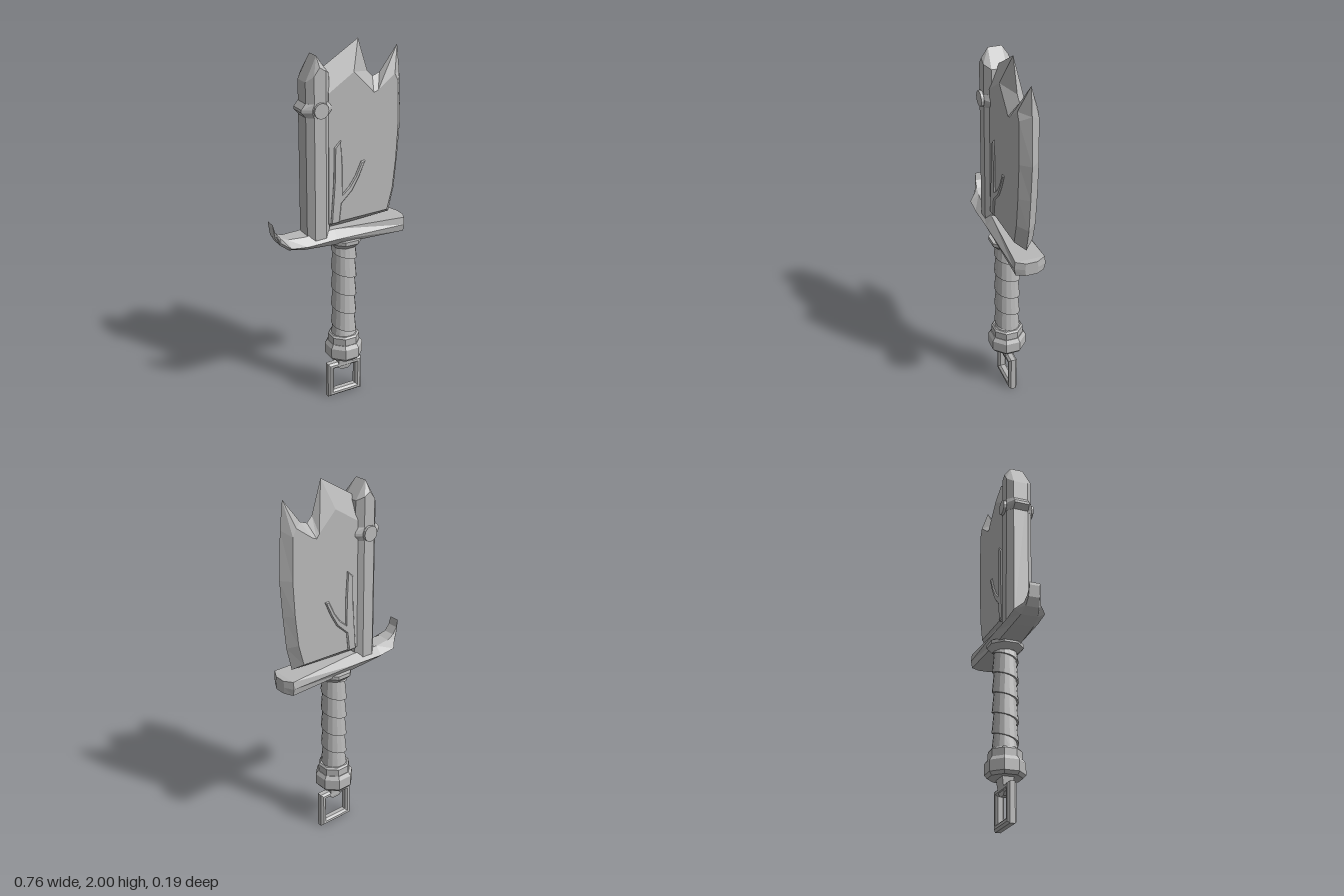
import * as THREE from 'three';

const steel = new THREE.MeshStandardMaterial({ color: 0xb8b8b8, flatShading: true });
steel.name = 'grey steel';

const AXIS_X = 0.035; // grip axis

// Joins equal-length rings of points into a closed solid; winding is fixed by signed volume.
function loft(rings, capTris) {
  const n = rings[0].length, tris = [];
  const caps = capTris || Array.from({ length: n - 2 }, (_, i) => [0, i + 1, i + 2]);
  for (let r = 0; r < rings.length - 1; r++) {
    for (let i = 0; i < n; i++) {
      const j = (i + 1) % n, a = rings[r], b = rings[r + 1];
      tris.push([a[i], a[j], b[j]], [a[i], b[j], b[i]]);
    }
  }
  const last = rings[rings.length - 1];
  for (const [a, b, c] of caps) {
    tris.push([rings[0][c], rings[0][b], rings[0][a]], [last[a], last[b], last[c]]);
  }
  let volume = 0;
  for (const [a, b, c] of tris) {
    volume += a[0] * (b[1] * c[2] - b[2] * c[1]) + a[1] * (b[2] * c[0] - b[0] * c[2]) + a[2] * (b[0] * c[1] - b[1] * c[0]);
  }
  const points = tris.flatMap(([a, b, c]) => (volume < 0 ? [a, c, b] : [a, b, c])).flat();
  const geometry = new THREE.BufferGeometry();
  geometry.setAttribute('position', new THREE.Float32BufferAttribute(points, 3));
  geometry.computeVertexNormals();
  return geometry;
}

function shapeOf(points) {
  return new THREE.Shape(points.map(([x, y]) => new THREE.Vector2(x, y)));
}

// Extrusion centred on z = 0 with a single chamfer inside the outline
function plate(shape, halfDepth, bevel) {
  const geometry = new THREE.ExtrudeGeometry(shape, {
    depth: 2 * (halfDepth - bevel), bevelThickness: bevel, bevelSize: bevel,
    bevelOffset: -bevel, bevelSegments: 1, curveSegments: 4,
  });
  return geometry.translate(0, 0, -(halfDepth - bevel));
}

// Eight-sided turned part with flats facing the axes; radii are measured to the flats
function octagon(profile) {
  const k = 1 / Math.cos(Math.PI / 8);
  const geometry = new THREE.LatheGeometry(profile.map(([r, y]) => new THREE.Vector2(r * k, y)), 8, Math.PI / 8);
  return geometry.translate(AXIS_X, 0, 0);
}

export function createModel() {
  const model = new THREE.Group();
  model.name = 'broadSword';
  const add = (name, geometry) => {
    const mesh = new THREE.Mesh(geometry, steel);
    mesh.name = name;
    model.add(mesh);
    return mesh;
  };

  // Blade: sharp outline at z = 0, bevelled to flat faces. [edge x, edge y, face x, face y]
  const blade = [
    [-0.08, 1.03, -0.08, 1.075], [0.305, 1.05, 0.265, 1.085], [0.335, 1.18, 0.295, 1.2],
    [0.352, 1.36, 0.312, 1.36], [0.365, 1.55, 0.322, 1.55], [0.352, 1.8, 0.315, 1.77],
    [0.335, 1.945, 0.295, 1.81], [0.235, 1.815, 0.2, 1.74], [0.195, 1.8, 0.175, 1.73],
    [0.165, 1.83, 0.16, 1.75], [0.11, 2.0, 0.06, 1.85], [-0.08, 1.885, -0.08, 1.76],
  ];
  const face = (z) => blade.map((p) => [p[2], p[3], z]);
  const bladeCaps = THREE.ShapeUtils.triangulateShape(blade.map((p) => new THREE.Vector2(p[2], p[3])), []);
  add('blade', loft([face(-0.05), blade.map((p) => [p[0], p[1], 0]), face(0.05)], bladeCaps));

  // Raised forked ornament, showing on both faces of the blade
  add('bladeOrnament', plate(shapeOf([
    [-0.07, 1.07], [-0.02, 1.07], [-0.008, 1.175], [0.055, 1.235], [0.095, 1.305], [0.13, 1.385],
    [0.105, 1.385], [0.07, 1.31], [0.035, 1.26], [-0.003, 1.225], [-0.003, 1.37], [-0.013, 1.515],
    [-0.05, 1.48], [-0.053, 1.3],
  ]), 0.057, 0.006));

  // Spine post: chamfered section with a gabled top
  const half = [[-0.2, 0.04, 1.83], [-0.168, 0.07, 1.86], [-0.138, 0.07, 1.9], [-0.105, 0.07, 1.88], [-0.073, 0.04, 1.86]];
  const section = [...half, ...half.map(([x, z, y]) => [x, -z, y]).reverse()];
  add('spinePost', loft([
    section.map(([x, z]) => [x, 1.0, z]),
    section.map(([x, z, y]) => [x, y, z]),
    section.map(([x, z]) => [-0.138, 1.95, Math.sign(z) * 0.035]),
  ]));

  // Band with pointed sides and a round boss on front and back
  const band = (y, grow) => section.map(([x, z]) => [-0.137 + (x + 0.137) * grow, y, z * 1.02]);
  add('postBand', loft([band(1.655, 1), band(1.683, 1.38), band(1.697, 1.38), band(1.725, 1)]));
  const boss = new THREE.CylinderGeometry(0.04, 0.04, 0.17, 12);
  add('postBoss', boss.rotateX(Math.PI / 2).translate(-0.135, 1.69, 0));

  // Guard: six-sided stations along x, [x, yTop, yMid, yBottom, zTop, zMid, zBottom]
  const stations = [
    [-0.385, 1.125, 1.12, 1.11, 0.028, 0.029, 0.028],
    [-0.375, 1.085, 1.068, 1.05, 0.03, 0.032, 0.03],
    [-0.35, 1.05, 1.025, 1.008, 0.032, 0.045, 0.035],
    [-0.31, 1.032, 1.0, 0.978, 0.036, 0.083, 0.045],
    [-0.22, 1.03, 0.99, 0.964, 0.045, 0.085, 0.055],
    [-0.05, 1.04, 0.995, 0.956, 0.05, 0.085, 0.06],
    [0.355, 1.03, 0.99, 0.952, 0.078, 0.083, 0.075],
    [0.38, 1.025, 0.99, 0.954, 0.03, 0.035, 0.03],
  ];
  add('crossGuard', loft(stations.map(([x, yt, ym, yb, zt, zm, zb]) => [
    [x, yt, zt], [x, ym, zm], [x, yb, zb], [x, yb, -zb], [x, ym, -zm], [x, yt, -zt],
  ])));

  // Grip core and collars
  add('gripCore', new THREE.CylinderGeometry(0.058, 0.058, 0.56, 16).translate(AXIS_X, 0.66, 0));
  add('upperCollar', octagon([[0, 0.915], [0.06, 0.915], [0.09, 0.945], [0.09, 0.965], [0, 0.965]]));
  add('lowerCollar', octagon([[0, 0.32], [0.08, 0.32], [0.08, 0.38], [0.072, 0.39], [0, 0.39]]));
  add('pommel', octagon([[0, 0.245], [0.083, 0.245], [0.096, 0.262], [0.096, 0.32], [0.083, 0.34], [0, 0.34]]));

  // Spiral wrap: each turn flares to a small ledge at its lower edge
  const pitch = 0.11, sides = 16, wrap = [];
  const clampY = (y) => Math.min(0.93, Math.max(0.385, y));
  for (let s = 0; s <= sides * 6; s++) {
    const a = (s / sides) * Math.PI * 2, y = 0.28 + (pitch * s) / sides;
    const at = (r, h) => [AXIS_X + Math.cos(a) * r, clampY(h), Math.sin(a) * r];
    wrap.push([at(0.055, y), at(0.069, y), at(0.059, y + pitch), at(0.055, y + pitch)]);
  }
  add('gripWrap', loft(wrap));

  // Hanger tab below the pommel
  const rect = (y, hx, hz) => [[hx, hz], [hx, -hz], [-hx, -hz], [-hx, hz]].map(([x, z]) => [AXIS_X + x, y, z]);
  add('hangerTab', loft([rect(0.195, 0.042, 0.024), rect(0.25, 0.046, 0.032)]));
  add('hangerHook', loft([rect(0.155, 0.022, 0.016), rect(0.172, 0.038, 0.02), rect(0.2, 0.038, 0.02)]));

  // Square hanging ring
  const square = (h) => [[-h, -h], [h, -h], [h, h], [-h, h]].map(([x, y]) => [AXIS_X + x, 0.104 + y]);
  const frame = shapeOf(square(0.104));
  frame.holes.push(shapeOf(square(0.068)));
  add('hangingRing', plate(frame, 0.024, 0.011));

  return model;
}
